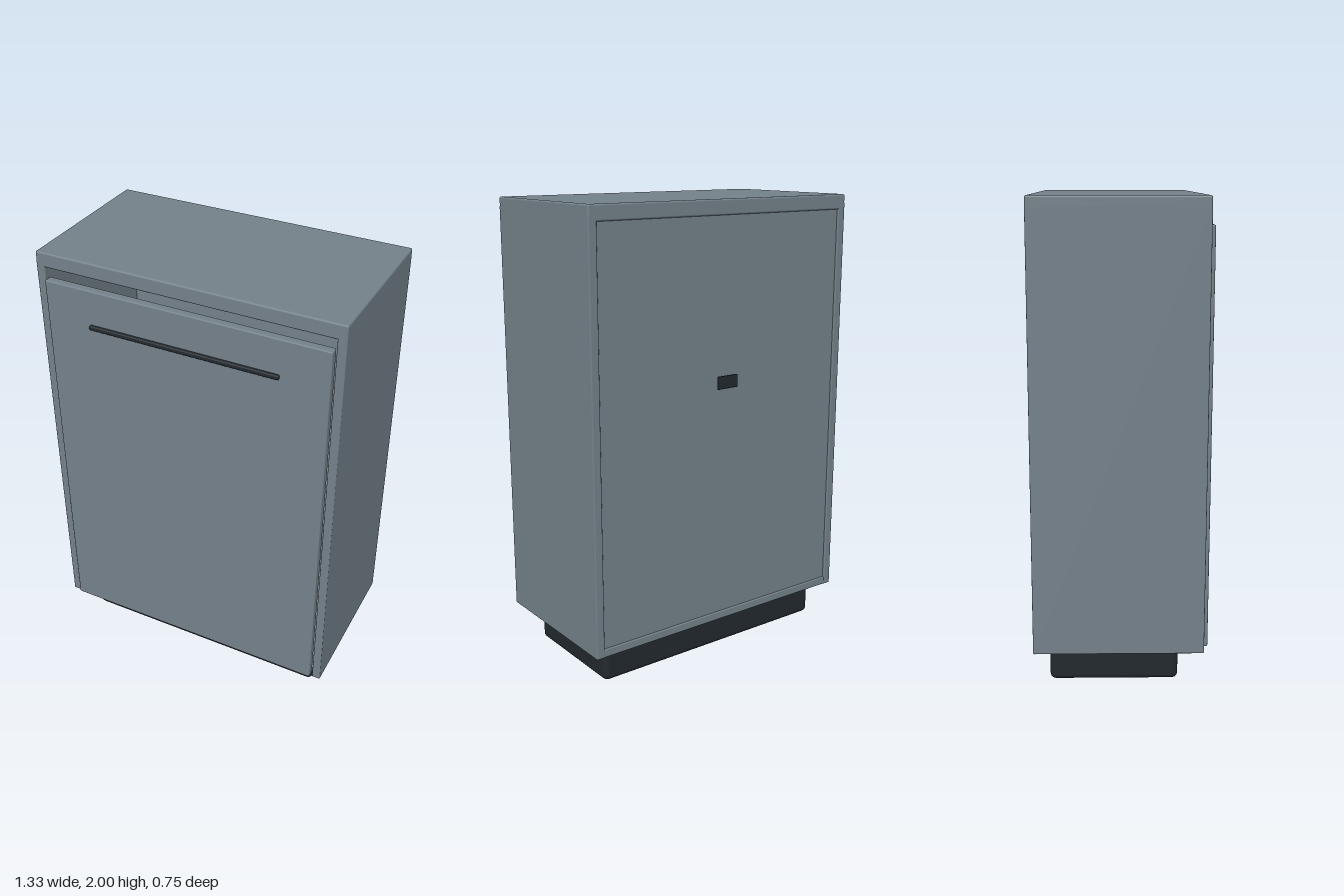
import * as THREE from 'three';
import { RoundedBoxGeometry } from 'three/addons/geometries/RoundedBoxGeometry.js';

const steel = new THREE.MeshStandardMaterial({ color: 0x74818a });
const dark = new THREE.MeshStandardMaterial({ color: 0x23292e });

// Rounded box given by its extents on each axis
function panel(name, [x0, x1], [y0, y1], [z0, z1], radius, material = steel) {
  const geometry = new RoundedBoxGeometry(x1 - x0, y1 - y0, z1 - z0, 3, radius);
  const mesh = new THREE.Mesh(geometry, material);
  mesh.name = name;
  mesh.position.set((x0 + x1) / 2, (y0 + y1) / 2, (z0 + z1) / 2);
  return mesh;
}

export function createModel() {
  const cabinet = new THREE.Group();
  cabinet.name = 'cabinet';

  // Hollow carcass
  const depth = [-0.363, 0.34];
  cabinet.add(
    panel('leftSide', [0.627, 0.665], [0.155, 1.965], depth, 0.005),
    panel('rightSide', [-0.665, -0.627], [0.155, 1.965], depth, 0.005),
    panel('topPanel', [-0.665, 0.665], [1.935, 2.0], depth, 0.008),
    panel('bottomPanel', [-0.64, 0.64], [0.155, 0.192], [-0.361, 0.31], 0.005),
    panel('backPanel', [-0.635, 0.635], [0.17, 1.95], [-0.354, -0.338], 0.003),
    panel('shelf', [-0.63, 0.63], [1.02, 1.045], [-0.34, 0.29], 0.004),
  );

  // Inset door with a long slim pull
  cabinet.add(
    panel('door', [-0.62, 0.62], [0.165, 1.89], [0.32, 0.358], 0.006),
    panel('handle', [-0.417, 0.417], [1.719, 1.739], [0.354, 0.372], 0.006, dark),
  );

  // Set-back plinth and small rear plate
  cabinet.add(
    panel('plinth', [-0.587, 0.587], [0, 0.157], [-0.298, 0.238], 0.025, dark),
    panel('rearPlate', [-0.053, 0.053], [1.217, 1.273], [-0.376, -0.37], 0.002, dark),
  );

  return cabinet;
}
